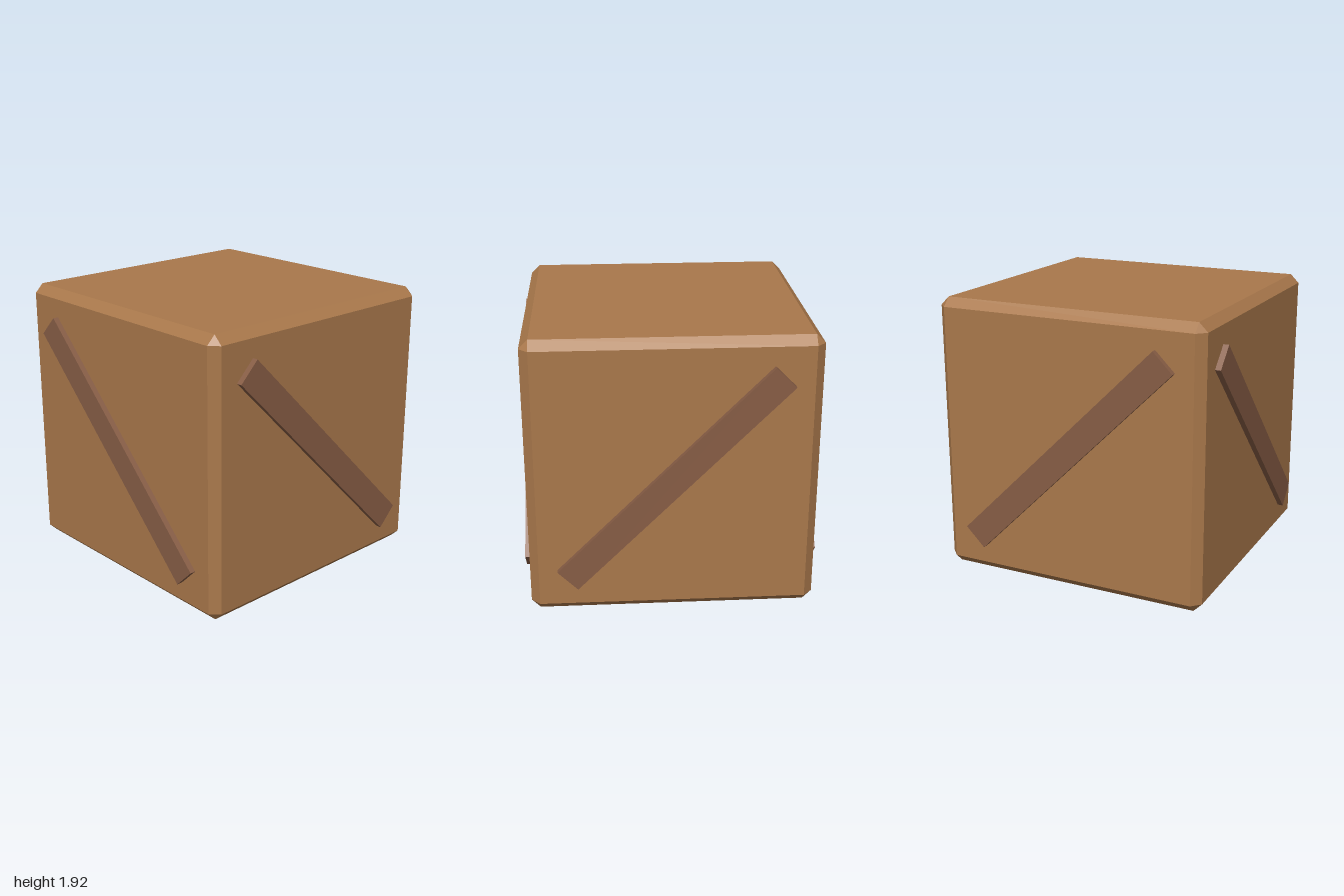
import * as THREE from 'three';
import { ConvexGeometry } from 'three/addons/geometries/ConvexGeometry.js';

const HALF = 0.961;   // half the crate's width
const BEVEL = 0.06;   // edge chamfer
const PROUD = 0.039;  // how far the braces stand out

// Cube with flat chamfered edges and triangular corners
function chamferedCube(h, bevel) {
  const points = [];
  const inner = h - bevel;
  for (const x of [-1, 1]) for (const y of [-1, 1]) for (const z of [-1, 1]) {
    points.push(
      new THREE.Vector3(x * h, y * inner, z * inner),
      new THREE.Vector3(x * inner, y * h, z * inner),
      new THREE.Vector3(x * inner, y * inner, z * h)
    );
  }
  return new ConvexGeometry(points);
}

export function createModel() {
  const model = new THREE.Group();
  model.name = 'crate';

  const wood = new THREE.MeshStandardMaterial({ color: 0xa9784b });
  wood.name = 'wood';
  const darkWood = new THREE.MeshStandardMaterial({ color: 0x875d45 });
  darkWood.name = 'darkWood';

  // Crate body
  const body = new THREE.Mesh(chamferedCube(HALF, BEVEL), wood);
  body.name = 'body';
  body.position.y = HALF;
  model.add(body);

  // One diagonal brace per side: turn picks the side, tilt the slope seen from outside
  const sunk = 0.02;
  const braceGeometry = new THREE.BoxGeometry(2.0, 0.19, PROUD + sunk);
  const sides = [
    ['frontBrace', 0, -1],
    ['leftBrace', 1, 1],
    ['backBrace', 2, 1],
    ['rightBrace', 3, -1],
  ];
  for (const [name, turn, tilt] of sides) {
    const side = new THREE.Group();
    side.name = name;
    side.position.y = HALF;
    side.rotation.y = turn * Math.PI / 2;
    const plank = new THREE.Mesh(braceGeometry, darkWood);
    plank.name = name + 'Plank';
    plank.position.z = HALF + (PROUD - sunk) / 2;
    plank.rotation.z = tilt * Math.PI / 4;
    side.add(plank);
    model.add(side);
  }

  return model;
}
